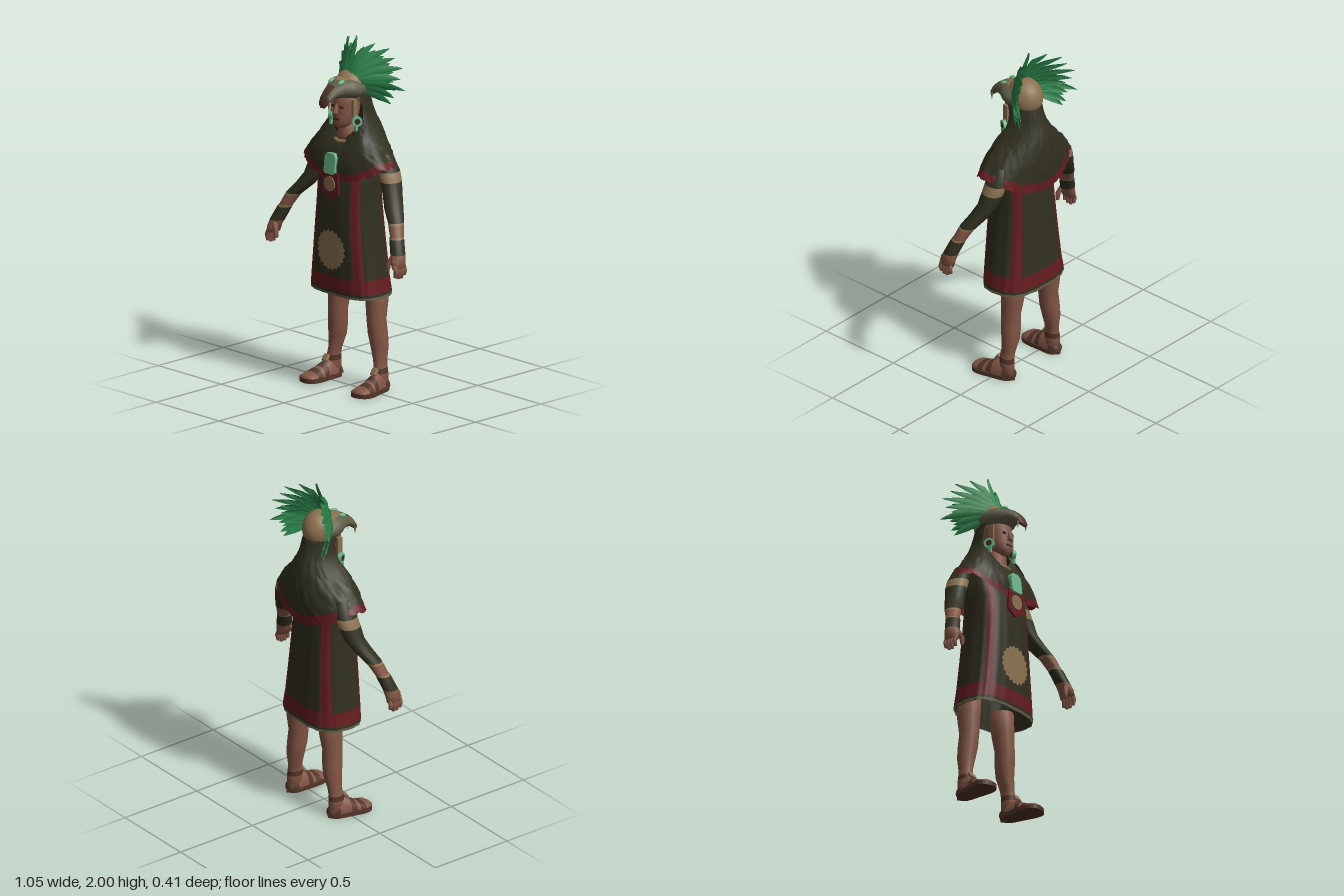
import * as THREE from 'three';
import { RoundedBoxGeometry } from 'three/addons/geometries/RoundedBoxGeometry.js';

const flat = (name, color) => new THREE.MeshStandardMaterial({ name, color, side: THREE.DoubleSide });
const M = {
  cloth: flat('dark cloth', 0x302f1f), red: flat('red trim', 0x651c20), skin: flat('skin', 0x845645),
  tan: flat('tan', 0x8c7250), feather: flat('feather green', 0x2a8049), jade: flat('jade', 0x69b586),
  skull: flat('skull olive', 0x615e48), sandal: flat('sandal brown', 0x523529), dark: flat('dark brown', 0x382720),
};
const RAD = Math.PI / 180;
const noise = (i, j) => { const s = Math.sin(i * 127.1 + j * 311.7) * 43758.5453; return (s - Math.floor(s)) * 2 - 1; };
const points = list => list.map(p => new THREE.Vector2(...p));

// Linear lookup in a table of rows keyed by the first column
function lookup(table, k) {
  let n = 0;
  while (n < table.length - 2 && k > table[n + 1][0]) n++;
  const a = table[n], b = table[n + 1], t = (k - a[0]) / (b[0] - a[0]);
  return a.map((v, c) => v + (b[c] - v) * t);
}

// Surface from rows x columns of points; pick(i, j) gives the material of each quad
function loft(name, rows, cols, point, pick, closed = true) {
  const pos = [], byMat = new Map(), index = [];
  for (let i = 0; i < rows; i++) for (let j = 0; j < cols; j++) pos.push(...point(i, j));
  for (let i = 0; i < rows - 1; i++) for (let j = 0; j < (closed ? cols : cols - 1); j++) {
    const m = pick(i, j), k = (j + 1) % cols;
    const a = i * cols + j, b = i * cols + k, c = a + cols, d = b + cols;
    if (!byMat.has(m)) byMat.set(m, []);
    byMat.get(m).push(a, c, b, b, c, d);
  }
  const g = new THREE.BufferGeometry(), mats = [...byMat.keys()];
  mats.forEach((m, n) => { g.addGroup(index.length, byMat.get(m).length, n); index.push(...byMat.get(m)); });
  g.setAttribute('position', new THREE.Float32BufferAttribute(pos, 3));
  g.setIndex(index);
  g.computeVertexNormals();
  const mesh = new THREE.Mesh(g, mats);
  mesh.name = name;
  return mesh;
}

// Limb from level rings [x, y, z, rx, rz, material of the section below], capped at both ends
function limb(name, rings, mat, n = 18) {
  const f = rings[0], l = rings[rings.length - 1];
  const all = [[f[0], f[1], f[2], 0, 0, f[5]], ...rings, [l[0], l[1], l[2], 0, 0]];
  return loft(name, all.length, n, (i, j) => {
    const r = all[i], t = j / n * 2 * Math.PI;
    return [r[0] + r[3] * Math.cos(t), r[1], r[2] + r[4] * Math.sin(t)];
  }, i => all[i][5] || mat);
}

function part(name, geo, mat, x, y, z) {
  const m = new THREE.Mesh(geo, mat);
  m.name = name;
  m.position.set(x, y, z);
  return m;
}

function mirrored(root, name, children) {
  const left = new THREE.Group(), cap = name[0].toUpperCase() + name.slice(1);
  left.add(...children);
  const right = left.clone();
  right.scale.x = -1;
  left.name = 'left' + cap;
  right.name = 'right' + cap;
  root.add(left, right);
}

// Tunic rows: height, half width, front z, back z
const TUNIC = [[.545, .243, .132, -.176], [.56, .242, .134, -.175], [.575, .24, .135, -.174], [.655, .228, .139, -.165],
  [.8, .211, .14, -.156], [.9, .2, .14, -.15], [1.05, .186, .136, -.14], [1.2, .184, .126, -.13], [1.32, .19, .085, -.12],
  [1.42, .12, .045, -.1]];

function tunicSurface(name, rows, inset, pick) {
  return loft(name, rows, 72, (i, j) => {
    const [y, a, f, b] = TUNIC[i], t = j * 5 * RAD, c = Math.cos(t), s = Math.sin(t);
    const fold = 1 + (i < 7 ? .012 : 0) * Math.cos(t * 18);
    return [(a - inset) * Math.sign(c) * Math.abs(c) ** .7 * fold, y,
      ((s > 0 ? f : -b) - inset) * Math.sign(s) * Math.abs(s) ** .7 * fold];
  }, pick);
}

function tunic() {
  return tunicSurface('tunic', TUNIC.length, 0, (i, j) => {
    if (i < 3) return [M.skull, M.cloth, M.red][i];
    const q = (j * 5 + 2.5) % 180, corner = Math.min(q, 180 - q);
    return corner > 30 && corner < 55 ? M.red : M.cloth;
  });
}

// Round tan badge with a ragged edge, laid on the tunic front
function badge() {
  const n = 40;
  return loft('tunicBadge', 5, n, (i, j) => {
    const t = j / n * 2 * Math.PI, r = i / 4 * (i === 4 ? .104 + (j % 2 ? .008 : -.006) : .1);
    const x = r * Math.cos(t), y = .807 + 1.06 * r * Math.sin(t), [, a, f] = lookup(TUNIC, y);
    const c = Math.abs(x / a) ** (1 / .7);
    return [x, y, f * (1 - c * c) ** .35 + .007];
  }, () => M.tan);
}

// Shoulder cape of ruffled feathers, hanging straight at front and back, with a ragged red hem
function mantle() {
  const S = [0, .12, .24, .36, .48, .6, .7, .79, .87, .94, 1], n = 80;
  return loft('featherCape', S.length, n, (i, j) => {
    const s = S[i], t = j / n * 2 * Math.PI, c = Math.cos(t), d = Math.sin(t), c2 = c * c;
    const top = d > 0 ? 1.44 + .09 * c2 : 1.56 - .03 * c2;
    const hem = (d > 0 ? 1.21 : 1.19) + (d > 0 ? .095 : .115) * c2;
    const hang = Math.sin(Math.min(1.08, s * 1.3) * Math.PI / 2);
    const z = d > 0 ? .055 + .087 * hang : .155 + .047 * hang - .012 * s ** 3;
    const k = 1 + (i > 0 ? (i > 7 ? .014 : .026) * noise(i, j) : 0);
    return [(.1 + .217 * s) * Math.sign(c) * Math.abs(c) ** .9 * k,
      top + (hem - top) * s ** 1.2 + (i > 7 ? .008 : .005) * noise(j, i), z * Math.sign(d) * Math.abs(d) ** .85 * k];
  }, i => i > 7 ? M.red : M.cloth);
}

// Hood, open at the face: height, half width, back z, how far it wraps forward in degrees
function hood() {
  const H = [[1.69, .092, -.118, 8], [1.65, .1, -.132, 2], [1.6, .106, -.146, 0], [1.55, .122, -.166, 4], [1.5, .155, -.184, 16],
    [1.45, .19, -.195, 28], [1.4, .225, -.2, 30]], n = 44;
  return loft('hood', H.length, n, (i, j) => {
    const [y, w, b, f] = H[i], t = (-f + (180 + 2 * f) * j / (n - 1)) * RAD, s = Math.sin(t), k = 1 + .026 * noise(i + 20, j);
    return [w * Math.cos(t) * k, y, (s > 0 ? b * s : -.13 * s) * k];
  }, () => M.cloth, false);
}

function head(root) {
  root.add(limb('neck', [[0, 1.54, .005, .052, .055], [0, 1.45, .01, .057, .058], [0, 1.4, 0, .08, .062]], M.skin));
  root.add(limb('face', [[0, 1.72, .01, .074, .078], [0, 1.64, .02, .072, .08], [0, 1.6, .022, .071, .078],
    [0, 1.565, .026, .068, .077], [0, 1.53, .033, .057, .07], [0, 1.51, .045, .04, .054], [0, 1.497, .052, .022, .034]], M.skin, 24));
  root.add(limb('nose', [[0, 1.64, .094, .008, .008], [0, 1.592, .104, .013, .022], [0, 1.578, .1, .017, .017]], M.skin, 10));
  root.add(part('mouth', new THREE.BoxGeometry(.042, .01, .008), M.dark, 0, 1.55, .1));
  const collar = part('necklace', new THREE.TorusGeometry(.068, .011, 6, 28), M.tan, 0, 1.437, .014);
  collar.rotation.x = Math.PI / 2 + .25;
  root.add(collar);
  // Ear disc turned slightly forward
  const disc = new THREE.Group();
  disc.name = 'earDisc';
  disc.position.set(.1, 1.545, .04);
  disc.rotation.set(0, -.45, Math.PI / 2);
  disc.add(part('earring', new THREE.CylinderGeometry(.03, .03, .02, 18), M.jade, 0, 0, 0),
    part('earringCentre', new THREE.CylinderGeometry(.017, .017, .024, 12), M.dark, 0, 0, 0));
  mirrored(root, 'ear', [disc,
    part('eye', new THREE.BoxGeometry(.024, .012, .008), M.dark, .03, 1.62, .092),
    part('cheekStrap', new THREE.BoxGeometry(.016, .1, .03), M.tan, .082, 1.615, .042),
    part('earDrop', new THREE.BoxGeometry(.014, .035, .018), M.jade, .1, 1.507, .045)]);
}

function headdress(root) {
  // Animal skull sections: z, half width, top, bottom
  const K = [[-.07, .085, 1.76, 1.67], [-.03, .104, 1.775, 1.655], [.02, .108, 1.785, 1.65], [.06, .098, 1.785, 1.66], [.095, .074, 1.775, 1.672],
    [.135, .053, 1.752, 1.675], [.165, .045, 1.73, 1.665], [.19, .038, 1.705, 1.645], [.205, .03, 1.68, 1.632], [.208, 0, 1.655, 1.645]], n = 24;
  root.add(loft('animalSkull', K.length, n, (i, j) => {
    const [z, w, t, b] = K[i], a = j / n * 2 * Math.PI;
    return [w * Math.cos(a), (t + b) / 2 + (t - b) / 2 * Math.sin(a), z];
  }, (i, j) => {
    const top = j >= 4 && j < 8;
    return i > 6 || (i > 4 && top) ? M.sandal : top && i < 4 ? M.tan : M.skull;
  }));
  const dome = part('headDome', new THREE.SphereGeometry(1, 28, 20), M.tan, 0, 1.715, -.025);
  dome.scale.set(.094, .108, .108);
  root.add(dome);
  const eye = part('skullEye', new THREE.SphereGeometry(1, 14, 10), M.jade, .037, 1.766, .1);
  eye.scale.set(.014, .011, .023);
  eye.rotation.x = .35;
  const fang = part('fang', new THREE.ConeGeometry(.008, .045, 8), M.tan, .033, 1.64, .19);
  fang.rotation.x = Math.PI;
  mirrored(root, 'skullDetail', [eye, fang]);

  // Feather fan, flat in the middle and swept back at the sides; each feather has a raised spine and a drooping tip
  const fan = new THREE.Group();
  fan.name = 'featherFan';
  const W = [[.04, .013], [.1, .018], [.15, .022], [.2, .019], [.235, .009], [.256, 0]];
  const addFeather = (deg, len, layer) => fan.add(loft('feather', W.length, 3, (i, j) => {
    const r = W[i][0] * len, a = (deg + Math.sign(deg) * 90 * Math.max(0, r - .13)) * RAD, side = (j - 1) * W[i][1];
    const x = r * Math.sin(a) + side * Math.cos(a), y = 1.745 + r * Math.cos(a) - side * Math.sin(a);
    const lean = y > 1.76 ? .38 * (y - 1.76) : .4 * (1.76 - y);
    return [x, y, .032 - .95 * Math.max(0, Math.abs(x) - .045) - lean + (j === 1 ? .009 : 0) - layer];
  }, () => M.feather, false));
  for (let k = -8; k <= 8; k++) addFeather(k * 14.6, (k % 2 ? .95 : 1) * (Math.abs(k) > 6 ? .84 : 1), 0);
  for (let k = -8; k < 8; k++) addFeather((k + .5) * 14.6, .8, .025);
  root.add(fan);
}

function pendant(root) {
  const plate = (name, outline, depth, mat, y, z) => part(name,
    new THREE.ExtrudeGeometry(new THREE.Shape(points(outline)), { depth, bevelEnabled: false }), mat, 0, y, z);
  const panel = plate('chestPanel', [[-.06, .07], [.06, .07], [.066, -.05], [0, -.085], [-.066, -.05]], .012, M.red, 1.185, .138);
  const disc = part('chestDisc', new THREE.CylinderGeometry(.043, .043, .01, 12), M.tan, 0, 1.188, .152);
  disc.rotation.x = Math.PI / 2;
  const jade = plate('jadePendant', [[-.024, .06], [.024, .06], [.042, .038], [.042, -.045], [.032, -.058], [-.032, -.058],
    [-.042, -.045], [-.042, .038]], .03, M.jade, 1.3, .124);
  jade.rotation.x = -.12;
  root.add(panel, disc, jade);
}

function arm() {
  const parts = [limb('armAndSleeve', [[.225, 1.37, -.05, .04, .045, M.cloth], [.262, 1.278, -.05, .056, .066, M.tan],
    [.285, 1.225, -.045, .055, .064, M.cloth], [.312, 1.15, -.03, .053, .058, M.cloth], [.35, 1.09, -.002, .053, .054, M.cloth],
    [.402, 1.03, .032, .045, .047, M.tan], [.409, 1.018, .038, .043, .045, M.skin], [.438, .96, .06, .037, .04, M.tan],
    [.443, .95, .066, .041, .042, M.cloth], [.477, .872, .09, .041, .043, M.skin], [.488, .84, .1, .032, .049],
    [.497, .8, .102, .025, .047]], M.skin)];
  for (let k = 0; k < 4; k++) {
    const z = .07 + k * .022, low = [.758, .742, .742, .752][k];
    parts.push(limb('finger', [[.496, .82, z, .015, .013], [.511, .785, z, .014, .013], [.505, low, z, .01, .01]], M.skin, 8));
  }
  parts.push(limb('thumb', [[.47, .865, .12, .016, .016], [.447, .825, .132, .015, .015], [.443, .78, .134, .01, .01]], M.skin, 8));
  return parts;
}

function leg() {
  const shin = limb('leg', [[.138, .62, -.07, .062, .07], [.147, .5, -.068, .061, .067], [.152, .4, -.06, .053, .058],
    [.158, .32, -.065, .055, .058], [.166, .25, -.07, .05, .053], [.178, .17, -.064, .034, .043], [.184, .13, -.06, .035, .044, M.sandal],
    [.186, .1, -.06, .038, .046], [.187, .03, -.06, .038, .047]], M.skin);
  // Foot sections, closed at heel and toe: z, centre x, half width, height
  const F = [[-.114, .186, 0, .022], [-.112, .186, .018, .04], [-.1, .186, .035, .06], [-.06, .188, .043, .1], [-.02, .191, .047, .11],
    [.01, .195, .05, .096], [.04, .199, .054, .077], [.06, .202, .057, .067], [.095, .205, .06, .054], [.13, .205, .054, .044],
    [.146, .205, .036, .034], [.15, .205, 0, .022]], n = 20;
  const foot = loft('foot', F.length, n, (i, j) => {
    const [z, x, w, h] = F[i], a = j / n * 2 * Math.PI, s = Math.sin(a);
    return [x + w * Math.cos(a), s > 0 ? .02 + (h - .02) * s : .02 + .008 * s, z];
  }, i => i < 3 || i === 5 || i === 7 ? M.sandal : M.skin);
  const outline = new THREE.Shape(new THREE.SplineCurve(points([[.186, .118], [.146, .08], [.14, 0], [.138, -.1], [.165, -.148],
    [.215, -.155], [.262, -.13], [.272, -.08], [.252, 0], [.23, .08], [.186, .118]])).getPoints(40));
  const sole = part('sole', new THREE.ExtrudeGeometry(outline, { depth: .024, bevelEnabled: false }), M.sandal, 0, 0, 0);
  sole.rotation.x = -Math.PI / 2;
  const knot = part('ankleKnot', new RoundedBoxGeometry(.042, .045, .02, 2, .008), M.tan, .192, .114, -.006);
  knot.rotation.x = -.6;
  return [shin, foot, sole, knot];
}

export function createModel() {
  const root = new THREE.Group();
  root.name = 'featheredWarrior';
  root.add(tunic(), tunicSurface('tunicLining', 7, .007, () => M.cloth), badge(), mantle(), hood());
  head(root);
  headdress(root);
  pendant(root);
  mirrored(root, 'arm', arm());
  mirrored(root, 'leg', leg());
  return root;
}
